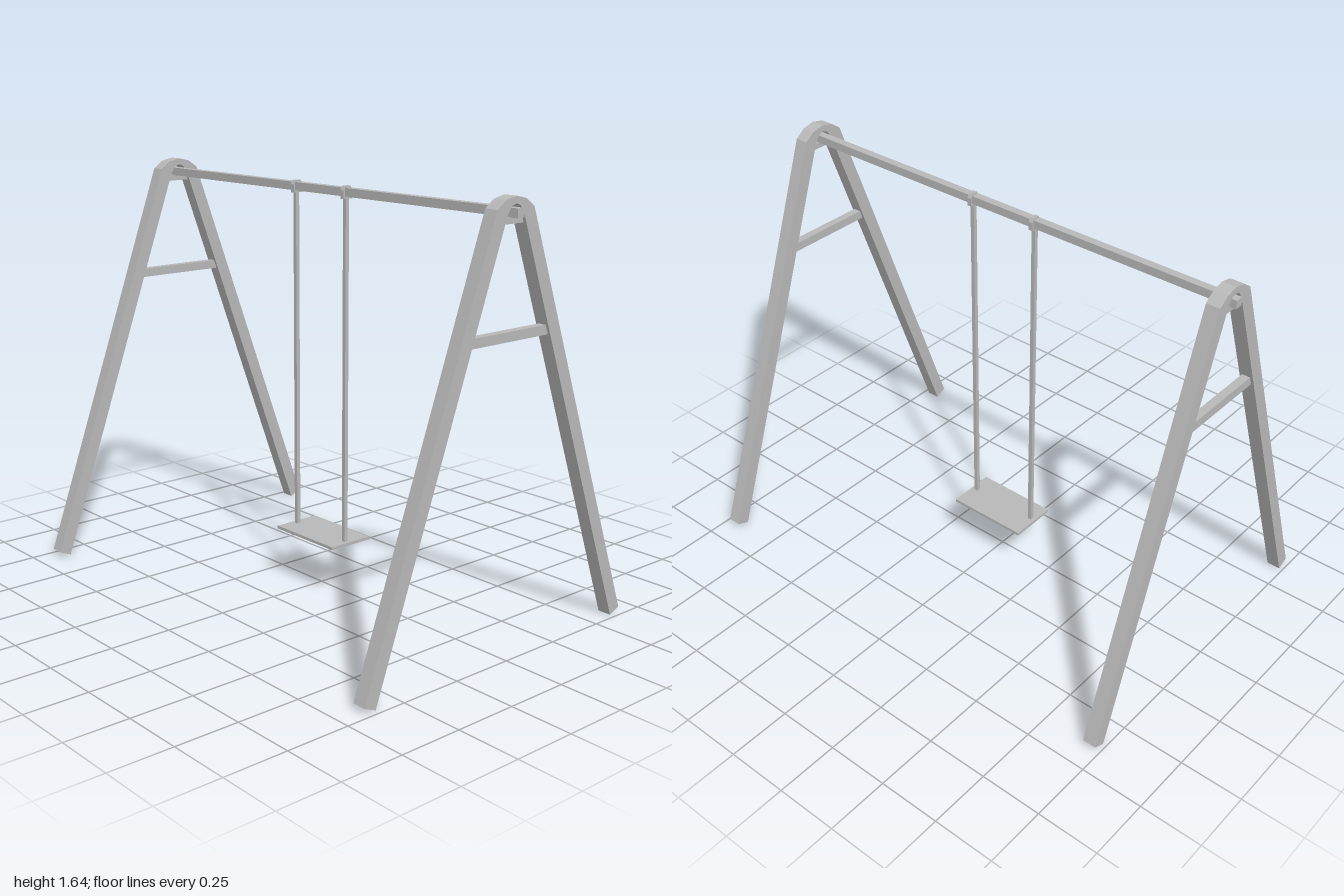
import * as THREE from 'three';

const CENTER_X = -0.003; // swing and frames share this middle

export function createModel() {
  const model = new THREE.Group();
  model.name = 'swingSet';
  const grey = new THREE.MeshStandardMaterial({ color: 0xb8b8b8 });
  grey.name = 'plain grey';

  const add = (name, geometry, x, y, z, parent = model) => {
    const mesh = new THREE.Mesh(geometry, grey);
    mesh.name = name;
    mesh.position.set(x, y, z);
    parent.add(mesh);
    return mesh;
  };
  const box = (name, w, h, d, x, y, z, parent) =>
    add(name, new THREE.BoxGeometry(w, h, d), x, y, z, parent);

  // Extrude a (z, y) outline along x, centred on x = 0
  const profile = (points, width) => {
    const shape = new THREE.Shape(points.map(([z, y]) => new THREE.Vector2(-z, y)));
    const geometry = new THREE.ExtrudeGeometry(shape, { depth: width, bevelEnabled: false });
    geometry.translate(0, 0, -width / 2);
    geometry.rotateY(Math.PI / 2);
    return geometry;
  };

  // Half outlines mirrored across z = 0
  const mirrored = (half) => half.map(([z, y]) => [-z, y]).reverse();
  const outer = [[0.609, 0], [0.658, 0.021], [0.09, 1.598], [0.05, 1.627]];
  const inner = [[0.022, 1.605], [0.04, 1.578]];
  const frameOutline = [
    ...outer, [0, 1.638], ...mirrored(outer),
    ...mirrored(inner), [0, 1.613], ...inner,
  ];

  // A-frames with their cross braces and beam rests
  for (const [side, x] of [['right', -0.954], ['left', 0.954]]) {
    const frame = new THREE.Group();
    frame.name = side + 'Frame';
    frame.position.x = x + CENTER_X;
    model.add(frame);
    add('bentLegs', profile(frameOutline, 0.055), 0, 0, 0, frame);
    box('crossBrace', 0.033, 0.035, 0.385, 0, 1.164, 0, frame);
    add('beamRest', profile([[0.05, 1.545], [0.042, 1.568], [-0.042, 1.568], [-0.05, 1.545]], 0.035),
      0, 0, 0, frame);
  }

  // Top beam
  box('topBeam', 2, 0.032, 0.032, 0, 1.583, 0);

  // Ropes and the brackets that wrap the beam
  const bracket = [[0.022, 1.558], [0.022, 1.59], [0.012, 1.606], [-0.012, 1.606], [-0.022, 1.59], [-0.022, 1.558]];
  for (const s of [-1, 1]) {
    const x = CENTER_X + s * 0.1445;
    add('beamBracket', profile(bracket, 0.018), x, 0, 0);
    box('rope', 0.016, 1.355, 0.016, x, 0.8825, 0.002);
  }

  // Seat board
  box('seat', 0.336, 0.012, 0.194, CENTER_X, 0.206, -0.009);

  return model;
}
